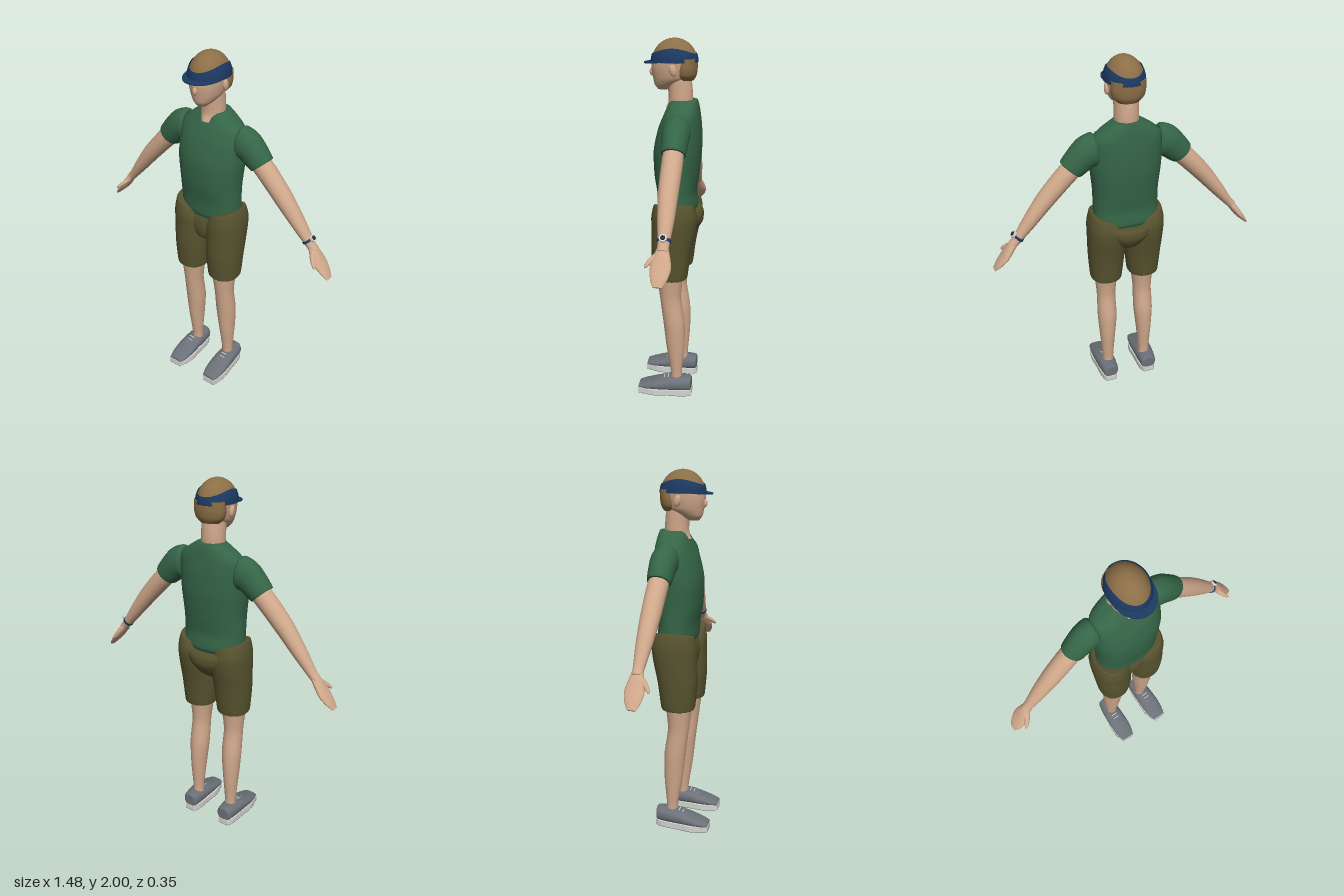
import * as THREE from 'three';

const mat = (name, color, side = THREE.FrontSide) => {
  const m = new THREE.MeshStandardMaterial({ color, side });
  m.name = name;
  return m;
};

// Smooth tube through sections [cx, cy, cz, halfU, halfZ, tilt]; U is the x axis turned by tilt.
function loft(sections, { power = 2, steps = 5, sides = 32 } = {}) {
  const curve = (f) => new THREE.CatmullRomCurve3(sections.map(f), false, 'catmullrom', 0.4);
  const centre = curve((s) => new THREE.Vector3(s[0], s[1], s[2]));
  const size = curve((s) => new THREE.Vector3(s[3], s[4], s[5] || 0));
  const rows = (sections.length - 1) * steps;
  const pos = [], idx = [];
  const ring = (t) => {
    const start = pos.length / 3, c = centre.getPoint(t), d = size.getPoint(t);
    for (let j = 0; j < sides; j++) {
      const a = (j / sides) * Math.PI * 2;
      const bend = (v) => Math.sign(v) * Math.abs(v) ** (2 / power);
      const u = bend(Math.cos(a)) * d.x;
      pos.push(c.x + u * Math.cos(d.z), c.y + u * Math.sin(d.z), c.z + bend(Math.sin(a)) * d.y);
    }
    return start;
  };
  for (let i = 0; i <= rows; i++) ring(i / rows);
  for (let i = 0; i < rows; i++) {
    for (let j = 0; j < sides; j++) {
      const a = i * sides + j, b = i * sides + ((j + 1) % sides);
      idx.push(a, a + sides, b, b, a + sides, b + sides);
    }
  }
  // flat end caps
  for (const t of [0, 1]) {
    const s = ring(t), c = centre.getPoint(t), mid = pos.length / 3;
    pos.push(c.x, c.y, c.z);
    for (let j = 0; j < sides; j++) {
      const a = s + j, b = s + ((j + 1) % sides);
      if (t) idx.push(mid, b, a); else idx.push(mid, a, b);
    }
  }
  const g = new THREE.BufferGeometry();
  g.setAttribute('position', new THREE.Float32BufferAttribute(pos, 3));
  g.setIndex(idx);
  g.computeVertexNormals();
  return g;
}

// Mirror a geometry across x = 0, keeping faces outward.
function mirror(geo) {
  const g = geo.clone().scale(-1, 1, 1);
  if (!g.index) g.setIndex([...Array(g.attributes.position.count).keys()]);
  const ix = g.index.array;
  for (let i = 0; i < ix.length; i += 3) [ix[i], ix[i + 1]] = [ix[i + 1], ix[i]];
  return g;
}

export function createModel() {
  const root = new THREE.Group();
  root.name = 'standingMan';
  const skin = mat('skin', 0xd0a88b), shirt = mat('green shirt', 0x356547);
  const shorts = mat('olive shorts', 0x57532f), hair = mat('brown hair', 0x8c6f47);
  const navy = mat('navy', 0x1c3a63, THREE.DoubleSide), shoe = mat('grey shoe', 0x6c7179);
  const sole = mat('pale sole', 0xd4d4d0), dark = mat('dark dial', 0x2a2c30);

  const add = (name, geo, material, parent = root) => {
    const m = new THREE.Mesh(geo, material);
    m.name = name;
    parent.add(m);
    return m;
  };
  const pair = (name, geo, material) => {
    add('left' + name, geo, material);
    add('right' + name, mirror(geo), material);
  };

  // torso
  add('shirtBody', loft([
    [0, 1.08, -0.035, 0.13, 0.085], [0, 1.12, -0.038, 0.175, 0.106], [0, 1.2, -0.032, 0.178, 0.105],
    [0, 1.3, -0.03, 0.178, 0.119], [0, 1.43, -0.034, 0.189, 0.126], [0, 1.54, -0.045, 0.188, 0.113],
    [0, 1.61, -0.055, 0.178, 0.095], [0, 1.655, -0.062, 0.13, 0.082], [0, 1.69, -0.066, 0.075, 0.07],
  ], { power: 2.3 }), shirt);
  add('neck', loft([
    [0, 1.645, -0.032, 0.05, 0.064], [0, 1.68, -0.046, 0.063, 0.064],
    [0, 1.74, -0.045, 0.063, 0.064], [0, 1.83, -0.035, 0.062, 0.064],
  ]), skin);

  // shorts
  add('shortsSeat', loft([
    [0, 0.93, -0.03, 0.03, 0.05], [0, 0.97, -0.035, 0.09, 0.1], [0, 1.03, -0.048, 0.14, 0.125],
    [0, 1.075, -0.052, 0.17, 0.124], [0, 1.1, -0.05, 0.17, 0.115],
  ]), shorts);
  pair('ShortsLeg', loft([
    [0.11, 0.73, -0.012, 0.084, 0.088], [0.11, 0.74, -0.012, 0.09, 0.094],
    [0.108, 0.88, -0.015, 0.101, 0.109], [0.108, 1.0, -0.028, 0.105, 0.12, 0.03],
    [0.11, 1.08, -0.032, 0.104, 0.124, 0.12], [0.115, 1.14, -0.03, 0.086, 0.108, 0.3],
    [0.115, 1.145, -0.03, 0.07, 0.09, 0.3],
  ], { power: 2.2 }), shorts);

  // legs
  pair('Leg', loft([
    [0.116, 0.07, -0.048, 0.034, 0.034], [0.116, 0.14, -0.046, 0.033, 0.033],
    [0.115, 0.3, -0.04, 0.045, 0.052], [0.112, 0.45, -0.031, 0.056, 0.06],
    [0.111, 0.6, -0.011, 0.054, 0.059], [0.109, 0.74, -0.008, 0.068, 0.073],
    [0.109, 0.82, -0.008, 0.072, 0.076],
  ]), skin);

  // shoes: upper is lofted from heel to toe, then laid along z
  const upper = loft([
    [0.122, -0.135, -0.068, 0.028, 0.036], [0.122, -0.125, -0.068, 0.045, 0.042],
    [0.124, -0.06, -0.067, 0.054, 0.044], [0.126, 0, -0.064, 0.057, 0.041],
    [0.127, 0.07, -0.054, 0.059, 0.03], [0.128, 0.13, -0.044, 0.052, 0.02],
    [0.129, 0.17, -0.038, 0.04, 0.012],
  ], { power: 2.4 }).rotateX(Math.PI / 2);
  pair('ShoeUpper', upper, shoe);
  const outline = new THREE.Shape();
  outline.moveTo(0.092, -0.137);
  outline.lineTo(0.152, -0.137);
  outline.bezierCurveTo(0.185, -0.1, 0.17, -0.02, 0.187, 0.05);
  outline.bezierCurveTo(0.192, 0.1, 0.178, 0.13, 0.172, 0.173);
  outline.lineTo(0.092, 0.173);
  outline.bezierCurveTo(0.078, 0.13, 0.063, 0.1, 0.065, 0.05);
  outline.bezierCurveTo(0.078, -0.02, 0.06, -0.1, 0.092, -0.137);
  const slab = (bottom, height) => new THREE.ExtrudeGeometry(outline, { depth: height, bevelEnabled: false })
    .rotateX(Math.PI / 2).translate(0, bottom + height, 0);
  pair('ShoeSole', slab(0.003, 0.032), sole);
  pair('ShoeTread', slab(0, 0.003), shoe);
  for (let i = 0; i < 3; i++) {
    pair('Lace' + i, new THREE.BoxGeometry(0.035, 0.005, 0.005)
      .translate(0.126, 0.105 - i * 0.008, 0.0 + i * 0.022), sole);
  }

  // sleeves, arms and hands
  const T = -2.41;
  pair('Sleeve', loft([
    [0.165, 1.55, -0.056, 0.082, 0.062, -1.65], [0.18, 1.552, -0.056, 0.09, 0.07, -1.7],
    [0.225, 1.535, -0.056, 0.083, 0.07, -2.05], [0.293, 1.468, -0.056, 0.068, 0.062, T],
    [0.299, 1.461, -0.056, 0.06, 0.056, T],
  ]), shirt);
  pair('Arm', loft([
    [0.24, 1.515, -0.056, 0.055, 0.052, T], [0.34, 1.418, -0.057, 0.053, 0.053, T],
    [0.44, 1.31, -0.057, 0.048, 0.05, T], [0.53, 1.2, -0.06, 0.037, 0.041, T],
    [0.6, 1.112, -0.062, 0.025, 0.029, T], [0.63, 1.08, -0.062, 0.023, 0.028, T],
  ]), skin);
  pair('Hand', loft([
    [0.61, 1.1, -0.062, 0.018, 0.024, T], [0.645, 1.055, -0.06, 0.021, 0.042, T],
    [0.675, 1.015, -0.06, 0.019, 0.05, T], [0.71, 0.975, -0.058, 0.013, 0.04, T],
    [0.735, 0.945, -0.055, 0.006, 0.022, T],
  ]), skin);
  pair('Thumb', loft([
    [0.625, 1.075, -0.045, 0.013, 0.016, T], [0.65, 1.05, -0.018, 0.013, 0.018, T],
    [0.672, 1.028, 0.004, 0.009, 0.012, T], [0.682, 1.018, 0.01, 0.004, 0.005, T],
  ]), skin);

  // wristwatch on the left arm
  const watch = new THREE.Group();
  watch.name = 'wristwatch';
  watch.position.set(0.592, 1.121, -0.062);
  watch.rotation.z = 0.73;
  root.add(watch);
  add('watchStrap', new THREE.CylinderGeometry(0.031, 0.031, 0.014, 24).scale(0.95, 1, 1.1), navy, watch);
  add('watchCase', new THREE.CylinderGeometry(0.019, 0.019, 0.012, 24)
    .rotateZ(-Math.PI / 2).translate(0.034, 0, 0), sole, watch);
  add('watchDial', new THREE.CylinderGeometry(0.012, 0.012, 0.003, 24)
    .rotateZ(-Math.PI / 2).translate(0.041, 0, 0), dark, watch);

  // head
  add('face', loft([
    [0, 1.742, 0.045, 0.025, 0.028], [0, 1.765, 0.028, 0.052, 0.062], [0, 1.8, 0.0, 0.077, 0.098],
    [0, 1.85, -0.008, 0.09, 0.114], [0, 1.9, -0.012, 0.094, 0.115], [0, 1.93, -0.012, 0.08, 0.1],
  ]), skin);
  add('nose', new THREE.SphereGeometry(1, 16, 12).scale(0.013, 0.022, 0.018).translate(0, 1.83, 0.1), skin);
  pair('Ear', new THREE.SphereGeometry(1, 16, 12).scale(0.012, 0.03, 0.019)
    .rotateX(0.25).translate(0.092, 1.845, -0.02), skin);
  add('hairTop', new THREE.SphereGeometry(1, 40, 20, 0, Math.PI * 2, 0, Math.PI / 2)
    .scale(0.098, 0.12, 0.119).translate(0, 1.88, -0.014), hair);
  add('hairBack', loft([
    [0, 1.79, -0.075, 0.055, 0.04], [0, 1.815, -0.074, 0.08, 0.054],
    [0, 1.85, -0.076, 0.089, 0.057], [0, 1.9, -0.078, 0.088, 0.055],
  ]), hair);

  // sun visor: the band follows the skull and rises at the temples
  const band = new THREE.CylinderGeometry(1, 1, 1, 48, 6, true);
  const p = band.attributes.position;
  for (let i = 0; i < p.count; i++) {
    const x = p.getX(i), z = p.getZ(i);
    const y = 0.002 + (p.getY(i) + 0.5) * (0.04 + 0.03 * x * x);
    const r = Math.sqrt(1 - (y / 0.12) ** 2);
    p.setXYZ(i, x * (0.098 * r + 0.006), 1.88 + y, z * (0.119 * r + 0.005) - 0.014);
  }
  band.computeVertexNormals();
  add('visorBand', band, navy);
  const brim = new THREE.Shape();
  brim.moveTo(0.104, 0);
  brim.bezierCurveTo(0.108, 0.07, 0.075, 0.148, 0, 0.148);
  brim.bezierCurveTo(-0.075, 0.148, -0.108, 0.07, -0.104, 0);
  brim.absellipse(0, 0, 0.09, 0.098, Math.PI, 0, true);
  add('visorBrim', new THREE.ExtrudeGeometry(brim, { depth: 0.007, bevelEnabled: false, curveSegments: 24 })
    .rotateX(Math.PI / 2 + 0.08).translate(0, 1.893, -0.003), navy);

  // the arms set the width, so the body sits slightly off centre
  for (const part of root.children) part.position.x -= 0.008;
  return root;
}
